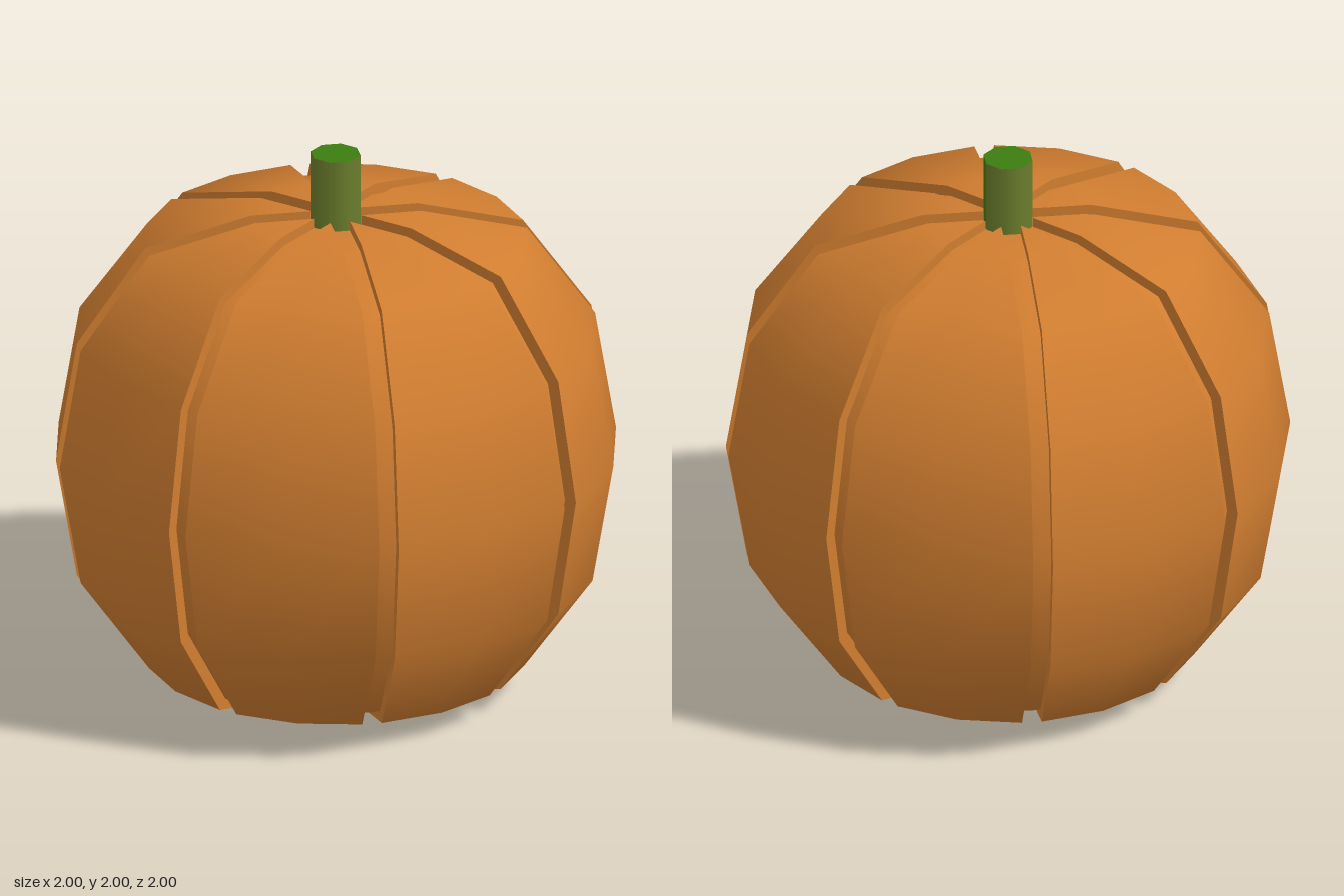
import * as THREE from 'three';
import { mergeVertices } from 'three/addons/utils/BufferGeometryUtils.js';

const CENTRE = 0.885;   // height of the widest ring
const GROOVE = 0.035;   // half width of a groove
const LOBES = 8;
const SECTOR = (Math.PI * 2) / LOBES;
const TIP = GROOVE / Math.tan(SECTOR / 2); // where neighbouring grooves meet

// half profile [radius, height above the centre], mirrored downwards
const upper = [[1, 0], [0.925, 0.445], [0.68, 0.79], [0.3, 0.885], [TIP, 0.885]];
const profile = [...upper.slice(1).reverse().map(([r, y]) => [r, -y]), ...upper];

// surface through columns of points, each column running upwards
function skin(columns) {
  const rows = columns[0].length;
  const index = [];
  for (let c = 0; c < columns.length - 1; c++) {
    for (let k = 0; k < rows - 1; k++) {
      const a = c * rows + k, b = a + rows;
      index.push(a, a + 1, b, a + 1, b + 1, b);
    }
  }
  const geometry = new THREE.BufferGeometry();
  geometry.setAttribute('position', new THREE.Float32BufferAttribute(columns.flat(2), 3));
  geometry.setIndex(index);
  const merged = mergeVertices(geometry, 1e-4);
  merged.computeVertexNormals();
  return merged;
}

// columns at the two groove edges and the middle of a lobe
const firstEdge = (s) => profile.map(([r, y]) => [Math.max(r * s, TIP), y * s, GROOVE]);
const lastEdge = (s) => firstEdge(s).map(([x, y, z]) => [
  x * Math.cos(SECTOR) + z * Math.sin(SECTOR), y,
  x * Math.sin(SECTOR) - z * Math.cos(SECTOR)]);
const middle = profile.map(([r, y]) => {
  const m = r === TIP ? Math.hypot(TIP, GROOVE) : r;
  return [m * Math.cos(SECTOR / 2), y, m * Math.sin(SECTOR / 2)];
});

export function createModel() {
  const orange = new THREE.MeshStandardMaterial({ color: 0xd07d30 });
  orange.name = 'orange rind';
  const olive = new THREE.MeshStandardMaterial({ color: 0x6b7d2c });
  olive.name = 'olive stem';
  const green = new THREE.MeshStandardMaterial({ color: 0x3c7d10 });
  green.name = 'green stem';

  const model = new THREE.Group();
  model.name = 'pumpkin';
  const add = (name, geometry, material, parent = model) => {
    const mesh = new THREE.Mesh(geometry, material);
    mesh.name = name;
    parent.add(mesh);
    return mesh;
  };

  // lobes: a rounded rind with a flat wall on each side
  const rind = skin([firstEdge(1), middle, lastEdge(1)]);
  const wallA = skin([firstEdge(0.945), firstEdge(1)]);
  const wallB = skin([lastEdge(1), lastEdge(0.945)]);
  for (let i = 0; i < LOBES; i++) {
    const lobe = new THREE.Group();
    lobe.name = 'lobe' + (i + 1);
    lobe.position.y = CENTRE;
    lobe.rotation.y = i * SECTOR;
    add('rind', rind, orange, lobe);
    add('grooveWall', wallA, orange, lobe);
    add('grooveWall', wallB, orange, lobe);
    model.add(lobe);
  }

  // core: its surface is the floor of the grooves
  const line = profile.map(([r, y]) => new THREE.Vector2(r * 0.96, y * 0.96));
  line.unshift(new THREE.Vector2(0, line[0].y));
  line.push(new THREE.Vector2(0, line[line.length - 1].y));
  add('grooveFloor', new THREE.LatheGeometry(line, 16), orange).position.y = CENTRE;

  // eight-sided stem with flat sides facing the axes
  const radius = 0.0825 / Math.cos(Math.PI / 8);
  const height = 0.28;
  const turn = Math.PI / 8;
  const sides = add('stemSides', new THREE.CylinderGeometry(
    radius, radius, height, 7, 1, true, 0, Math.PI * 1.75), olive);
  const greenSide = add('stemGreenSide', new THREE.CylinderGeometry(
    radius, radius, height, 1, 1, true, Math.PI * 1.75, Math.PI / 4), green);
  // turn the green side to the back left
  for (const part of [sides, greenSide]) {
    part.position.y = 2 - height / 2;
    part.rotation.y = Math.PI * 0.75 + turn;
  }
  const top = add('stemTop', new THREE.CircleGeometry(radius, 8, turn), green);
  top.rotation.x = -Math.PI / 2;
  top.position.y = 2;
  return model;
}
